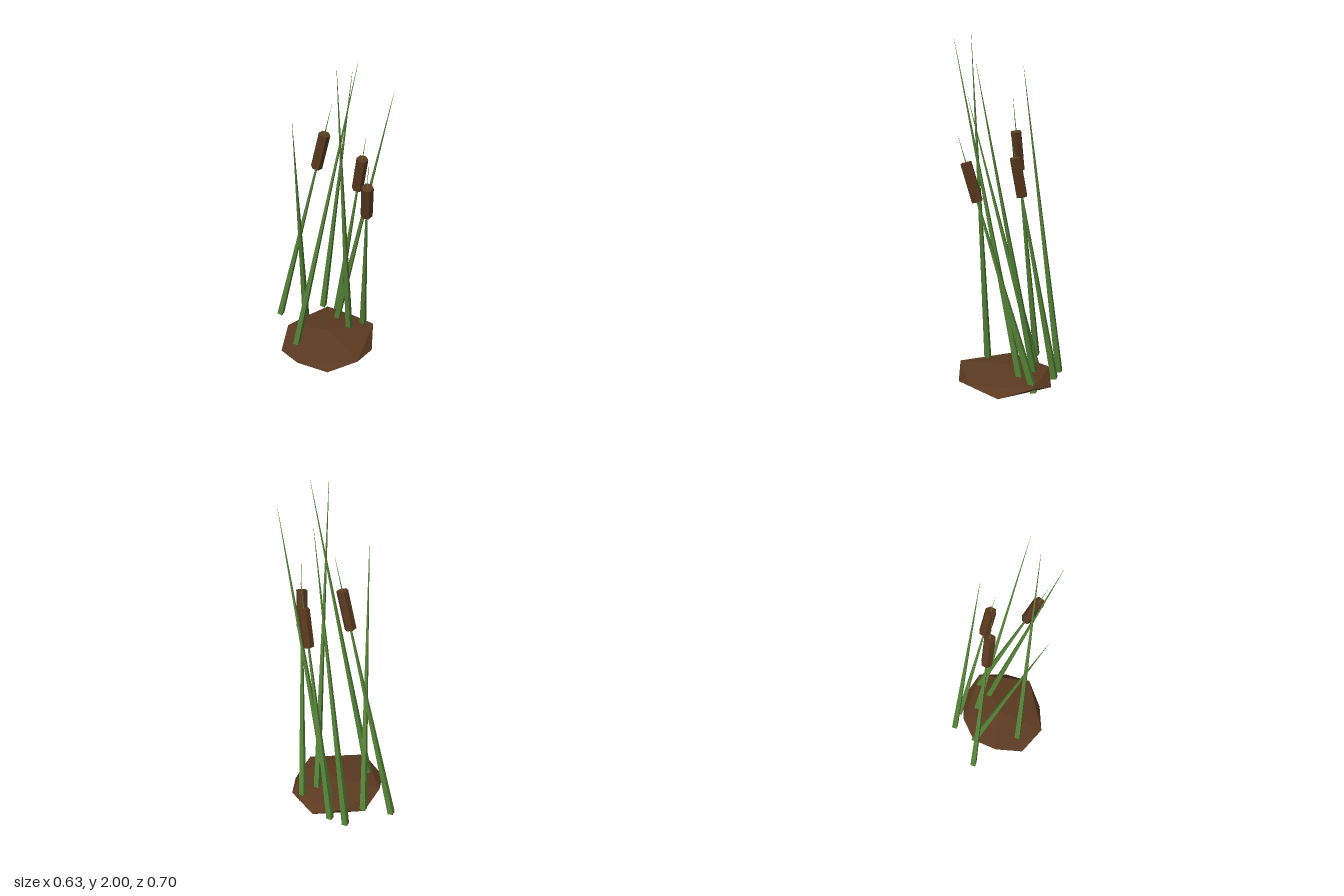
import * as THREE from 'three';

const green = new THREE.MeshStandardMaterial({ name: 'reed green', color: 0x568438, flatShading: true });
const brown = new THREE.MeshStandardMaterial({ name: 'earth brown', color: 0x5c3a21, flatShading: true });

const V = (x, y, z) => new THREE.Vector3(x, y, z);
const UP = V(0, 1, 0);

// Lay a mesh made along y between two points
function between(mesh, a, b) {
  mesh.position.copy(a).lerp(b, 0.5);
  mesh.quaternion.setFromUnitVectors(UP, b.clone().sub(a).normalize());
  return mesh;
}

// Four-sided blade tapering to a point
function blade(name, a, b) {
  const geo = new THREE.CylinderGeometry(0.0005, 0.0245, a.distanceTo(b), 4);
  const mesh = new THREE.Mesh(geo, green);
  mesh.name = name;
  return between(mesh, a, b);
}

// Six-sided seed head between two heights on a stem
function seedHead(a, b, y0, y1) {
  const at = (y) => a.clone().lerp(b, (y - a.y) / (b.y - a.y));
  const p = at(y0), q = at(y1);
  const mesh = new THREE.Mesh(new THREE.CylinderGeometry(0.033, 0.033, p.distanceTo(q), 6), brown);
  mesh.name = 'seedHead';
  return between(mesh, p, q);
}

// Flattened mound: zigzag rim of low and high corners between two poles
function mound() {
  const rim = [
    [-0.315, 0.012, 0.01], [-0.258, 0.065, 0.195], [-0.09, 0.012, 0.28], [0.1, 0.065, 0.3],
    [0.24, 0.015, 0.185], [0.315, 0.065, 0.01], [0.235, 0.012, -0.165], [0.08, 0.065, -0.245],
    [-0.08, 0.012, -0.25], [-0.225, 0.065, -0.15],
  ];
  const pos = [...rim.flat(), 0, 0.098, 0, 0, 0, 0];
  const top = 10, bottom = 11, index = [];
  for (let i = 0; i < 10; i += 2) {
    const low = i, high = i + 1, nextLow = (i + 2) % 10, nextHigh = (i + 3) % 10;
    index.push(top, high, nextHigh, bottom, nextLow, low);
    index.push(low, nextLow, high, high, nextLow, nextHigh);
  }
  const geo = new THREE.BufferGeometry();
  geo.setAttribute('position', new THREE.Float32BufferAttribute(pos, 3));
  geo.setIndex(index);
  const flat = geo.toNonIndexed();
  flat.computeVertexNormals();
  const mesh = new THREE.Mesh(flat, brown);
  mesh.name = 'mound';
  return mesh;
}

export function createModel() {
  const model = new THREE.Group();
  model.name = 'cattails';
  model.add(mound());

  // Plain leaves: base, tip
  const leaves = [
    [V(-0.077, 0.02, -0.24), V(-0.23, 1.68, 0.14)],
    [V(-0.223, 0.02, 0.022), V(0.07, 2.0, 0.25)],
    [V(0.072, 0.02, -0.318), V(0.143, 1.84, -0.025)],
    [V(0.103, 0.02, -0.13), V(0.24, 1.85, 0.302)],
    [V(0.155, 0.02, -0.01), V(-0.052, 1.99, 0.297)],
  ];
  for (const [a, b] of leaves) model.add(blade('leaf', a, b));

  // Stems with seed heads: base, tip, head bottom and top heights
  const stems = [
    [V(-0.23, 0.02, -0.33), V(0.03, 1.67, -0.02), 1.265, 1.485],
    [V(0.145, 0.02, -0.24), V(0.19, 1.5, 0.08), 1.14, 1.355],
    [V(0.26, 0.02, -0.035), V(0.102, 1.48, 0.347), 1.125, 1.335],
  ];
  for (const [a, b, y0, y1] of stems) {
    const cattail = new THREE.Group();
    cattail.name = 'cattail';
    cattail.add(blade('stem', a, b), seedHead(a, b, y0, y1));
    model.add(cattail);
  }
  return model;
}
